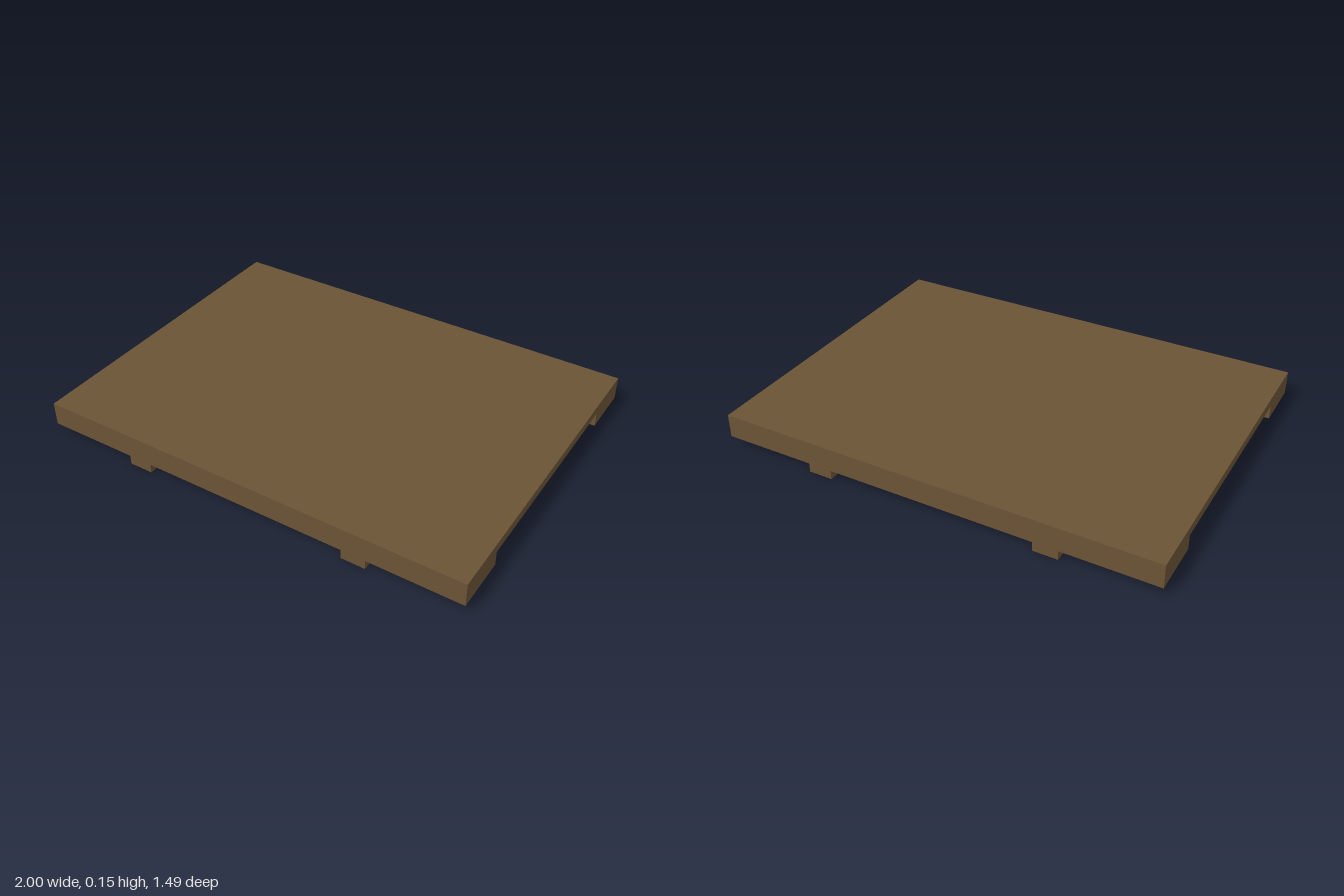
import * as THREE from 'three';

const HALF_X = 1, HALF_Z = 0.745;
const FOOT_Y = 0.042, DECK_Y = 0.107, TOP_Y = 0.15;
const RUNNER_IN = 0.47, RUNNER_OUT = 0.58, NOTCH_Z = 0.5;

const wood = new THREE.MeshStandardMaterial({ color: 0x6b5436, flatShading: true });

function addBox(group, name, x0, x1, y0, y1) {
  const mesh = new THREE.Mesh(new THREE.BoxGeometry(x1 - x0, y1 - y0, HALF_Z * 2), wood);
  mesh.name = name;
  mesh.position.set((x0 + x1) / 2, (y0 + y1) / 2, 0);
  group.add(mesh);
}

// Lower layer: H-shaped outline with a notch in each side and a tapered recess beneath
function baseGeometry() {
  const half = [
    [HALF_X, -HALF_Z], [HALF_X, -NOTCH_Z], [RUNNER_OUT, -NOTCH_Z],
    [RUNNER_OUT, NOTCH_Z], [HALF_X, NOTCH_Z], [HALF_X, HALF_Z],
  ];
  const outline = [...half, ...half.map(([x, z]) => [-x, -z])];
  const shape = new THREE.Shape(outline.map(([x, z]) => new THREE.Vector2(x, z)));

  const open = [0.285, 0.26], inner = [0.178, 0.15];
  const corners = [[-1, -1], [-1, 1], [1, 1], [1, -1]];
  shape.holes.push(new THREE.Path(corners.map(([x, z]) => new THREE.Vector2(x * open[0], z * open[1]))));

  const depth = DECK_Y - FOOT_Y;
  const geo = new THREE.ExtrudeGeometry(shape, { depth, bevelEnabled: false });

  // Narrow the recess toward its ceiling
  const p = geo.attributes.position;
  for (let i = 0; i < p.count; i++) {
    if (p.getZ(i) > depth / 2 && Math.abs(p.getX(i)) < 0.3) {
      p.setX(i, Math.sign(p.getX(i)) * inner[0]);
      p.setY(i, Math.sign(p.getY(i)) * inner[1]);
    }
  }
  geo.rotateX(-Math.PI / 2);
  geo.translate(0, FOOT_Y, 0);
  geo.computeVertexNormals();
  return geo;
}

export function createModel() {
  const model = new THREE.Group();
  model.name = 'platform';

  // Flat top
  addBox(model, 'deck', -HALF_X, HALF_X, DECK_Y, TOP_Y);

  // Notched underside
  const base = new THREE.Mesh(baseGeometry(), wood);
  base.name = 'base';
  model.add(base);

  // Two runners along the full depth
  addBox(model, 'leftRunner', RUNNER_IN, RUNNER_OUT, 0, FOOT_Y);
  addBox(model, 'rightRunner', -RUNNER_OUT, -RUNNER_IN, 0, FOOT_Y);

  return model;
}
